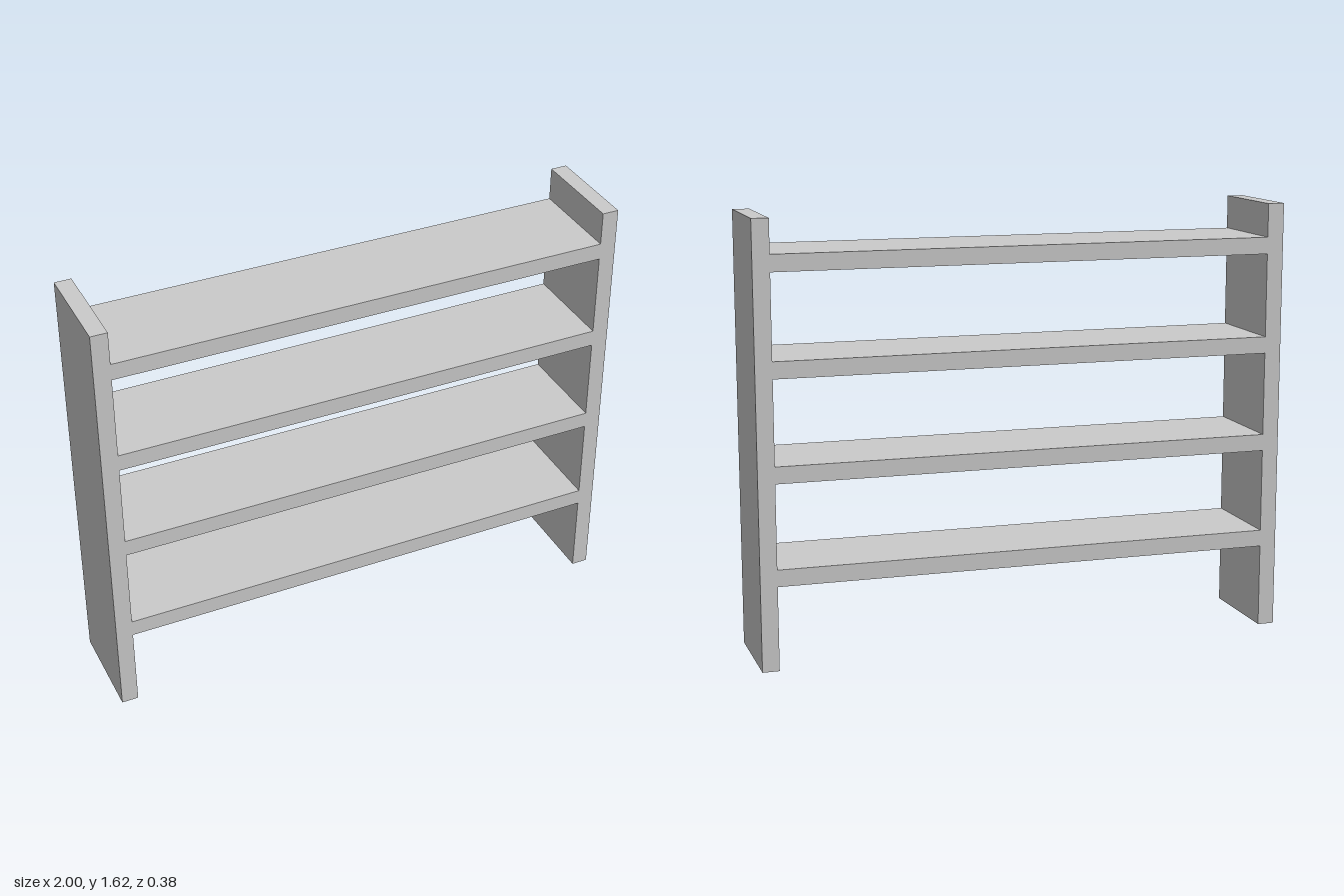
import * as THREE from 'three';

const WIDTH = 2, HEIGHT = 1.625, DEPTH = 0.375, BOARD = 0.0625;
const SHELF_COUNT = 4, FIRST_SHELF_TOP = 0.375, SHELF_SPACING = 0.375;

export function createModel() {
  const model = new THREE.Group();
  model.name = 'shelfUnit';
  const material = new THREE.MeshStandardMaterial({ color: 0xcccccc });

  const addBoard = (name, w, h, x, y) => {
    const board = new THREE.Mesh(new THREE.BoxGeometry(w, h, DEPTH), material);
    board.name = name;
    board.position.set(x, y, 0);
    model.add(board);
  };

  // Upright side panels
  for (const [name, side] of [['leftPanel', 1], ['rightPanel', -1]]) {
    addBoard(name, BOARD, HEIGHT, side * (WIDTH - BOARD) / 2, HEIGHT / 2);
  }

  // Evenly spaced shelves between the panels
  for (let i = 0; i < SHELF_COUNT; i++) {
    const top = FIRST_SHELF_TOP + i * SHELF_SPACING;
    addBoard(`shelf${i + 1}`, WIDTH - 2 * BOARD, BOARD, 0, top - BOARD / 2);
  }

  return model;
}
